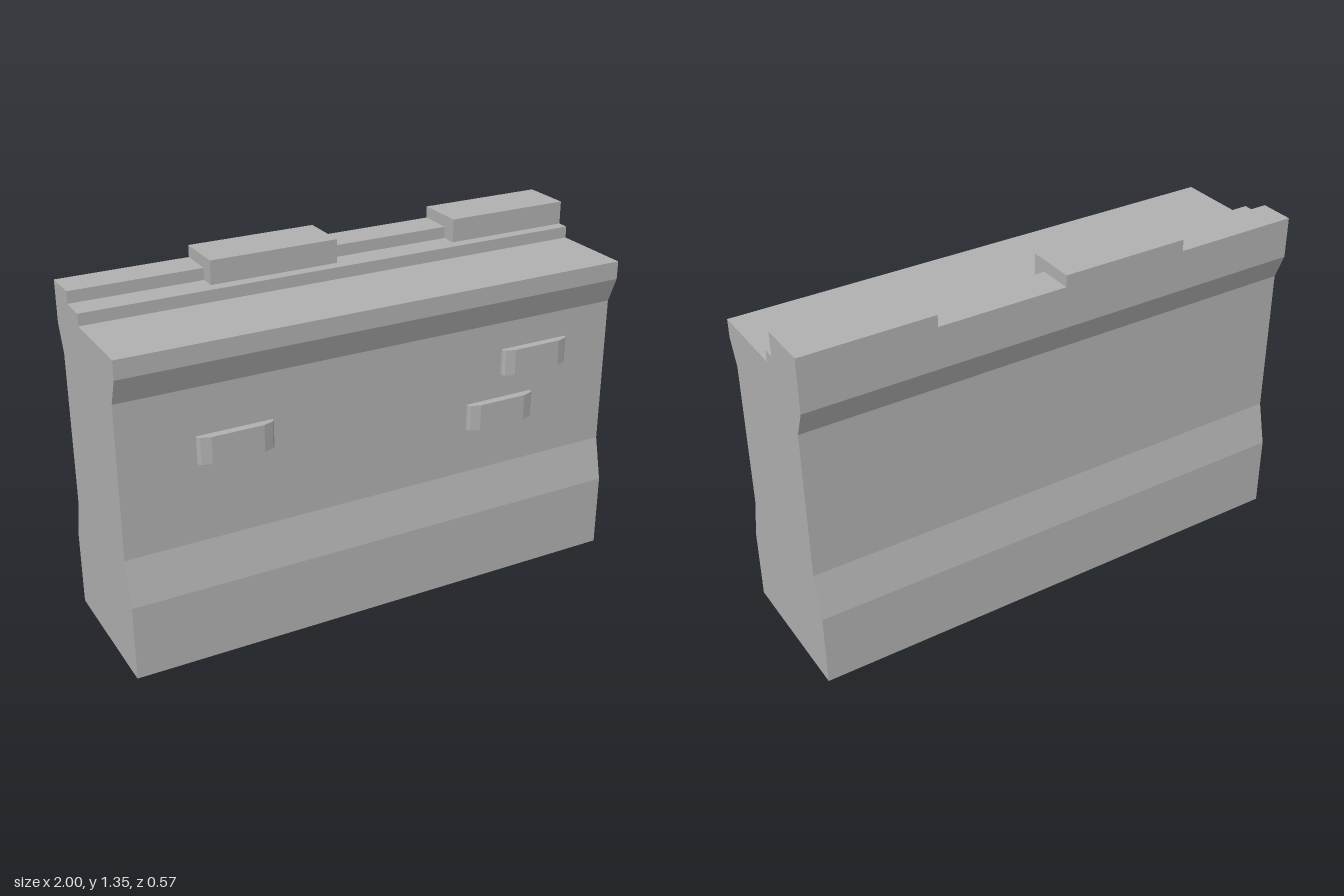
import * as THREE from 'three';

const stone = new THREE.MeshStandardMaterial({ color: 0xb0b0b0 });
stone.name = 'grey stone';

function extrude(points, depth) {
  const shape = new THREE.Shape(points.map(([a, b]) => new THREE.Vector2(a, b)));
  return new THREE.ExtrudeGeometry(shape, { depth, bevelEnabled: false });
}

export function createModel() {
  const group = new THREE.Group();
  group.name = 'castleWall';
  const add = (name, geometry) => {
    const mesh = new THREE.Mesh(geometry, stone);
    mesh.name = name;
    group.add(mesh);
    return mesh;
  };

  // Wall body: (z, y) cross-section with flared foot, flared head and a step
  const profile = [
    [-0.285, 0], [0.285, 0], [0.285, 0.29], [0.245, 0.46], [0.245, 1.045],
    [0.285, 1.145], [0.285, 1.215], [-0.045, 1.215], [-0.045, 1.26],
    [-0.285, 1.26], [-0.285, 1.145], [-0.245, 1.045], [-0.245, 0.46], [-0.285, 0.29],
  ];
  add('wallBody', extrude(profile, 2).translate(0, 0, -1).rotateY(-Math.PI / 2));

  // Parapet: alternating low and high blocks along the back edge
  for (let i = 0; i < 4; i++) {
    const high = i % 2 === 1;
    const height = high ? 0.09 : 0.045;
    const depth = high ? 0.195 : 0.135;
    add(high ? 'merlon' : 'lowParapet', new THREE.BoxGeometry(0.5, height, depth))
      .position.set(-0.75 + i * 0.5, 1.26 + height / 2, -0.285 + depth / 2);
  }

  // Raised bricks: (x, z) outline with chamfered ends, extruded upwards
  const outline = [
    [-0.143, -0.005], [0.143, -0.005], [0.143, 0.01], [0.135, 0.018],
    [0.098, 0.03], [-0.098, 0.03], [-0.135, 0.018], [-0.143, 0.01],
  ];
  const brick = extrude(outline, 0.102).translate(0, 0, -0.051)
    .rotateX(Math.PI / 2);
  for (const [x, y] of [[-0.575, 0.815], [0.657, 0.887], [0.511, 0.692]]) {
    add('raisedBrick', brick).position.set(x, y, 0.245);
  }
  return group;
}
